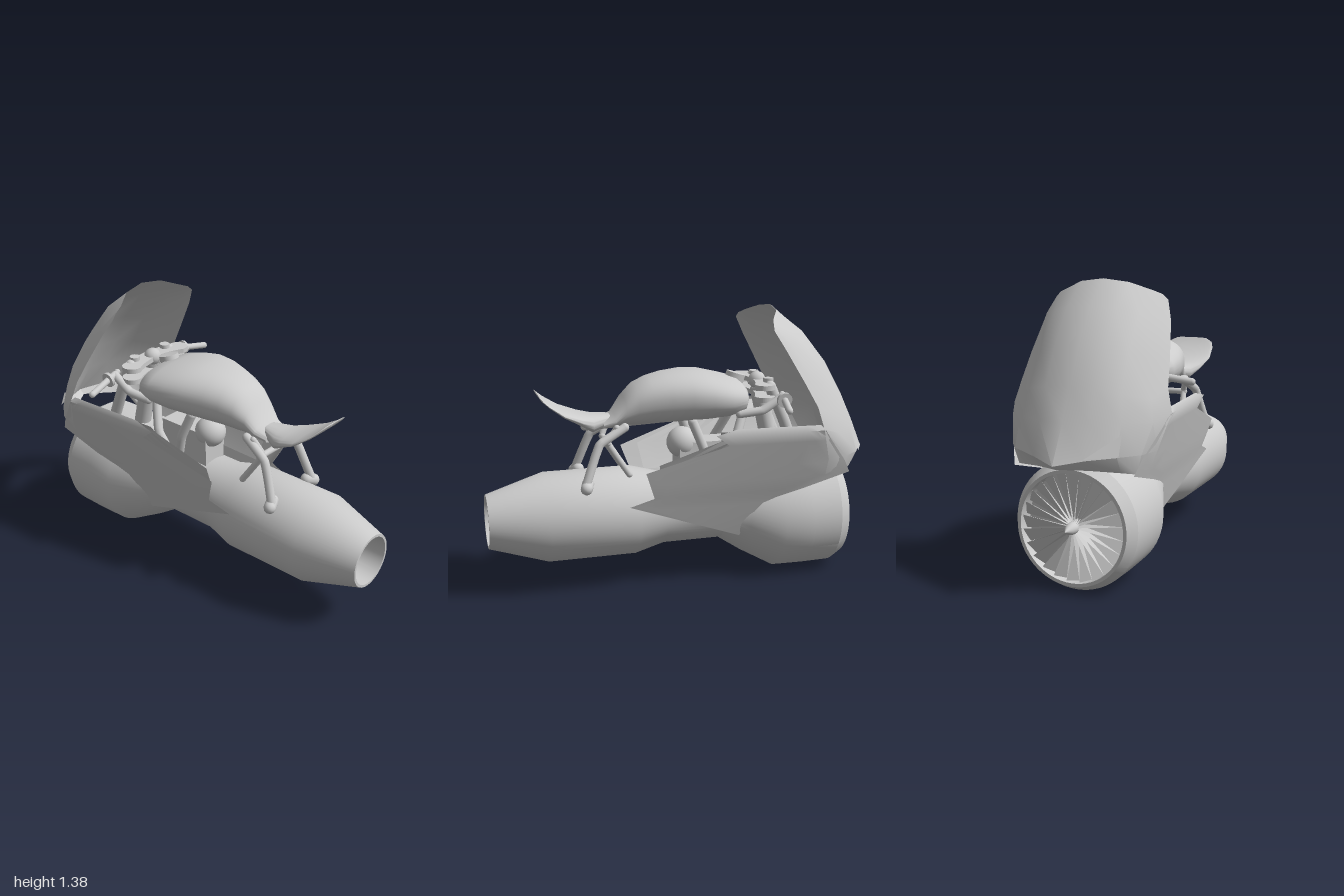
import * as THREE from 'three';
import { toCreasedNormals } from 'three/addons/utils/BufferGeometryUtils.js';

const mat = new THREE.MeshStandardMaterial({ color: 0xcccccc, side: THREE.DoubleSide });
const V = (x, y, z) => new THREE.Vector3(x, y, z);

// Surface through rows of [x, y, z] points; every row has the same length
function loft(rows, crease = 0.7) {
  const n = rows[0].length, index = [];
  for (let i = 0; i < rows.length - 1; i++)
    for (let j = 0; j < n - 1; j++) {
      const a = i * n + j, b = a + n;
      index.push(a, b, a + 1, b, b + 1, a + 1);
    }
  const g = new THREE.BufferGeometry();
  g.setAttribute('position', new THREE.Float32BufferAttribute(rows.flat(2), 3));
  g.setIndex(index);
  return toCreasedNormals(g, crease);
}

// Closed cross-section across z; p = 2 is an ellipse, larger is boxier
function section(z, w, top, bottom, p = 2, n = 48) {
  const pts = [], c = (top + bottom) / 2, h = (top - bottom) / 2;
  for (let i = 0; i <= n; i++) {
    const a = (i % n) / n * Math.PI * 2, x = Math.cos(a), y = Math.sin(a);
    pts.push([w * Math.sign(x) * Math.abs(x) ** (2 / p), c + h * Math.sign(y) * Math.abs(y) ** (2 / p), z]);
  }
  return pts;
}

// Smooth value between [key, value] stations
function at(stations, t, k) {
  let i = 1;
  while (i < stations.length - 1 && t > stations[i][0]) i++;
  const [a, b] = [stations[i - 1], stations[i]];
  return THREE.MathUtils.lerp(a[k], b[k], THREE.MathUtils.clamp((t - a[0]) / (b[0] - a[0]), 0, 1));
}

export function createModel() {
  const model = new THREE.Group();
  const add = (name, geo, parent = model) => {
    const m = new THREE.Mesh(geo, mat);
    m.name = name;
    parent.add(m);
    return m;
  };
  // Round bar through a few points, with capped ends
  const bar = (name, pts, r, bend = 0.15) => {
    const curve = new THREE.CatmullRomCurve3(pts.map(p => V(...p)), false, 'catmullrom', bend);
    add(name, new THREE.TubeGeometry(curve, pts.length * 6, r, 12));
    for (const p of [pts[0], pts[pts.length - 1]])
      add(name + 'End', new THREE.SphereGeometry(r, 12, 8)).position.set(...p);
  };

  // Jet engine: exhaust lining, shell and intake lip as [z, radius, centre height]
  const jet = [[0.72, 0, 0.365], [0.72, 0.11, 0.365], [1, 0.122, 0.365], [1, 0.135, 0.365], [0.71, 0.225, 0.365],
    [0.27, 0.225, 0.365], [0.12, 0.185, 0.365], [-0.18, 0.185, 0.365], [-0.3, 0.235, 0.335], [-0.47, 0.3, 0.303],
    [-0.62, 0.302, 0.302], [-0.77, 0.3, 0.302], [-0.825, 0.268, 0.3], [-0.825, 0.252, 0.3], [-0.74, 0.25, 0.3], [-0.74, 0, 0.3]];
  add('jetEngine', loft(jet.map(([z, r, c]) => section(z, r, c + r, c - r, 2, 64)), 0.5));

  // Intake fan with pointed hub
  const fan = new THREE.Group();
  fan.name = 'intakeFan';
  fan.position.set(0, 0.3, -0.79);
  model.add(fan);
  const blade = loft([0, 1].map(t => [0, 1].map(e => {
    const r = t ? 0.25 : 0.025, w = t ? 0.034 : 0.005;
    return [e ? w : -w, r, e ? 0.018 : -0.018];
  })));
  for (let i = 0; i < 24; i++) add('fanBlade', blade, fan).rotation.z = i / 24 * Math.PI * 2;
  const hub = new THREE.LatheGeometry([[0.028, -0.04], [0.028, 0.03], [0.022, 0.055], [0, 0.095]].map(p => new THREE.Vector2(...p)), 24);
  add('fanHub', hub.rotateX(-Math.PI / 2), fan);

  // Front cowl and windscreen: half rows from the centre line outwards, top to nose
  const cowl = [
    [[0, 1.385, -0.465], [0.12, 1.37, -0.45], [0.21, 1.335, -0.4], [0.26, 1.315, -0.385], [0.285, 1.29, -0.38]],
    [[0, 1.27, -0.6], [0.12, 1.262, -0.59], [0.21, 1.235, -0.545], [0.29, 1.22, -0.47], [0.318, 1.2, -0.43]],
    [[0, 1.11, -0.73], [0.12, 1.1, -0.72], [0.215, 1.075, -0.675], [0.315, 1.04, -0.58], [0.348, 1.04, -0.52]],
    [[0, 0.94, -0.825], [0.12, 0.93, -0.815], [0.225, 0.91, -0.775], [0.325, 0.88, -0.68], [0.365, 0.92, -0.585]],
    [[0, 0.79, -0.895], [0.12, 0.79, -0.88], [0.24, 0.79, -0.815], [0.345, 0.78, -0.71], [0.393, 0.815, -0.61]],
    [[0, 0.62, -0.995], [0.12, 0.64, -0.93], [0.24, 0.65, -0.86], [0.315, 0.65, -0.77], [0.345, 0.65, -0.66]],
    [[0, 0.6, -0.965], [0.12, 0.59, -0.89], [0.24, 0.575, -0.82], [0.29, 0.56, -0.76], [0.31, 0.56, -0.66]]];
  const mirrored = row => [...row.slice(1).reverse().map(([x, y, z]) => [-x, y, z]), ...row];
  add('windscreenCowl', loft(cowl.map(mirrored), 0.6));

  // Side fairing rows: [height, front z, rear z, outer x]
  const fairing = [[0.835, -0.6, -0.18, 0.375], [0.81, -0.62, -0.07, 0.39], [0.755, -0.66, -0.14, 0.375], [0.63, -0.76, 0.26, 0.335],
    [0.56, -0.8, 0.235, 0.315], [0.49, -0.55, 0.21, 0.29], [0.45, -0.42, 0.33, 0.275], [0.42, -0.35, 0.25, 0.265],
    [0.33, -0.28, 0.006, 0.235], [0.235, -0.25, -0.25, 0.2]];
  const fairingX = (x, z) => x * (1 - 0.15 * THREE.MathUtils.clamp((z + 0.62) / 0.88, 0, 1) - 0.4 * Math.max(0, -z - 0.62));

  // Tank body stations: [z, half width, top, bottom]
  const tank = [[-0.3, 0.16, 1.0, 0.88], [-0.27, 0.23, 1.025, 0.86], [-0.2, 0.25, 1.045, 0.84], [-0.1, 0.245, 1.07, 0.83],
    [0, 0.22, 1.077, 0.825], [0.1, 0.185, 1.068, 0.82], [0.18, 0.16, 1.05, 0.82], [0.25, 0.135, 1.02, 0.815],
    [0.31, 0.11, 0.96, 0.815], [0.36, 0.095, 0.88, 0.81], [0.42, 0.08, 0.85, 0.805]];
  const tankRows = tank.map(s => section(...s, 2.3));
  add('tankBody', loft([section(-0.3, 0, 0.94, 0.94), ...tankRows, section(0.42, 0, 0.83, 0.83)], 0.9));
  const cap = add('fuelCap', new THREE.CylinderGeometry(0.05, 0.05, 0.04, 24));
  cap.position.set(0, 1.025, -0.28);
  cap.rotation.x = -0.3;

  // Upturned seat with a keel below
  const seat = [[0.38, 0.05, 0.875, 0.82], [0.47, 0.095, 0.88, 0.79], [0.53, 0.125, 0.89, 0.83], [0.62, 0.147, 0.918, 0.885],
    [0.69, 0.14, 0.96, 0.94], [0.72, 0.125, 0.985, 0.968], [0.735, 0.09, 1.0, 0.99]];
  const seatRows = seat.map(s => section(...s, 2.4));
  add('seat', loft([section(0.38, 0, 0.85, 0.85), ...seatRows, section(0.738, 0, 0.998, 0.998)], 0.9));
  bar('seatRail', [[0, 0.815, 0.5], [0, 0.82, 0.36], [0, 0.83, 0.1]], 0.022);

  // Steering clamp plates, waisted between the forks
  const plate = new THREE.Shape();
  plate.moveTo(-0.16, -0.05);
  plate.quadraticCurveTo(0, 0.03, 0.16, -0.05);
  plate.absarc(0.17, 0, 0.05, -1.6, 1.6, false);
  plate.quadraticCurveTo(0, 0.09, -0.17, 0.05);
  plate.absarc(-0.17, 0, 0.05, 1.6, 4.7, false);
  for (const y of [0.925, 0.985]) {
    const g = new THREE.ExtrudeGeometry(plate, { depth: 0.025, bevelEnabled: false, curveSegments: 12 });
    add('steeringClamp', g.rotateX(-Math.PI / 2)).position.set(0, y, -0.38);
  }
  bar('steeringColumn', [[0, 1.0, -0.4], [0, 0.55, -0.5]], 0.045);
  bar('frameCrossbar', [[-0.08, 0.74, 0.4], [0.08, 0.74, 0.4]], 0.016);
  add('frameHousing', new THREE.SphereGeometry(0.08, 24, 16)).position.set(0, 0.7, 0);
  add('frameSpine', new THREE.BoxGeometry(0.14, 0.22, 0.3)).position.set(0, 0.6, -0.12);

  for (const s of [1, -1]) {
    // Outer fairing, curved in towards the engine
    const panel = fairing.map(([y, z0, z1, x]) => Array.from({ length: 13 }, (_, i) => {
      const z = THREE.MathUtils.lerp(z0, z1, i / 12);
      return [s * fairingX(x, z), y, z];
    }));
    add('sideFairing', loft(panel, 0.8));
    // Inner lining from the upper edge down to the engine
    const lining = [[0.82, -0.1, 0.36], [0.76, -0.12, 0.3], [0.65, 0.18, 0.27], [0.52, 0.16, 0.2]].map(([y, z1, x]) =>
      Array.from({ length: 9 }, (_, i) => {
        const z = THREE.MathUtils.lerp(-0.6, z1, i / 8);
        return [s * fairingX(x, z), y, z];
      }));
    add('fairingLining', loft(lining, 0.5));
    // Headlight lens beside the nose
    const [A, B, C] = [[0.12, 0.648, -0.94], [0.25, 0.745, -0.83], [0.25, 0.655, -0.866]].map(([x, y, z]) => [s * x, y, z]);
    add('headlight', loft([[A, A], [B, C]]));
    // Strut holding the cowl above the intake
    bar('cowlStrut', [[s * 0.2, 0.62, -0.83], [s * 0.14, 0.56, -0.62]], 0.018);

    // Handlebar, collar and arm
    bar('handlebar', [[s * 0.2, 0.96, -0.46], [s * 0.415, 0.925, -0.415]], 0.017);
    const collar = add('handlebarCollar', new THREE.CylinderGeometry(0.038, 0.038, 0.016, 20));
    collar.position.set(s * 0.275, 0.948, -0.444);
    collar.rotation.z = Math.PI / 2 + s * -0.16;
    bar('handlebarArm', [[s * 0.2, 0.875, -0.24], [s * 0.22, 0.89, -0.35], [s * 0.22, 0.95, -0.45]], 0.022);
    // Fork leg and its top bolt
    bar('forkLeg', [[s * 0.14, 0.99, -0.42], [s * 0.14, 0.83, -0.49], [s * 0.13, 0.56, -0.6]], 0.03);
    add('clampBolt', new THREE.CylinderGeometry(0.026, 0.026, 0.03, 16)).position.set(s * 0.11, 1.015, -0.42);

    // Frame tubes from the seat to the engine, ending in foot pegs
    bar('pegStrut', [[s * 0.1, 0.82, 0.32], [s * 0.125, 0.75, 0.45], [s * 0.14, 0.66, 0.49], [s * 0.16, 0.555, 0.53]], 0.022);
    bar('footPeg', [[s * 0.135, 0.56, 0.515], [s * 0.175, 0.545, 0.53]], 0.03);
    bar('rearFrame', [[s * 0.1, 0.82, 0.36], [s * 0.075, 0.74, 0.4], [s * 0.1, 0.58, 0.3]], 0.016);
    bar('middleFrame', [[s * 0.12, 0.83, -0.02], [s * 0.14, 0.7, -0.07], [s * 0.12, 0.5, -0.12]], 0.024);
    bar('mainFrame', [[s * 0.08, 0.86, -0.3], [s * 0.15, 0.68, -0.22], [s * 0.13, 0.5, -0.1]], 0.024);
  }
  return model;
}
